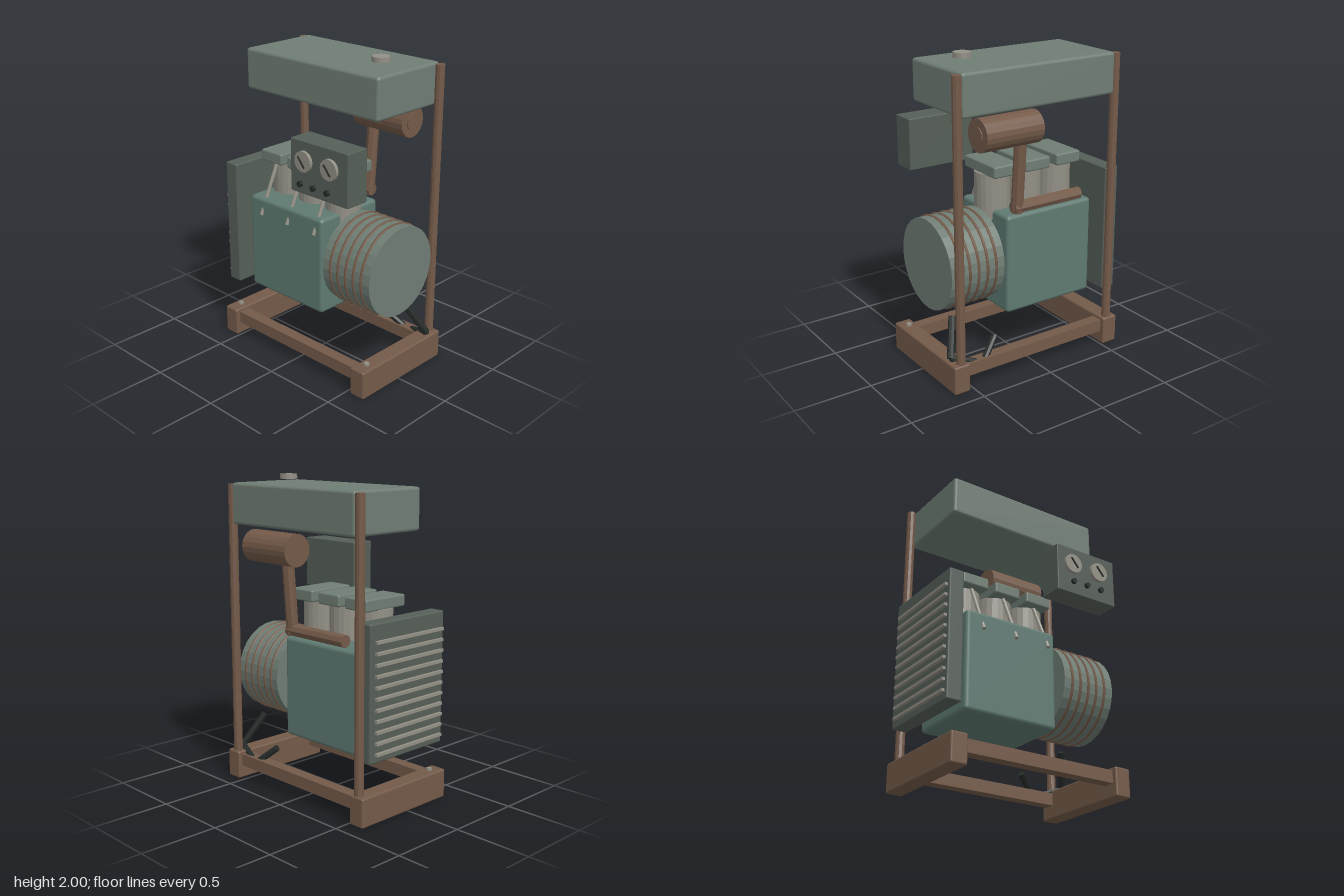
import * as THREE from 'three';
import { RoundedBoxGeometry } from 'three/addons/geometries/RoundedBoxGeometry.js';

const mat = (color, flatShading = false) => new THREE.MeshStandardMaterial({ color, flatShading });
const rust = mat(0x745a49), rustFlat = mat(0x745a49, true);
const green = mat(0x6f7d74), greenFlat = mat(0x6f7d74, true);
const teal = mat(0x5f7a72), slate = mat(0x565f58);
const steel = mat(0x928f85, true), black = mat(0x252b28, true);

export function createModel() {
  const model = new THREE.Group();
  model.name = 'generatorSet';

  const add = (name, geometry, material, parent = model) => {
    const mesh = new THREE.Mesh(geometry, material);
    mesh.name = name;
    parent.add(mesh);
    return mesh;
  };
  const group = (name) => {
    const g = new THREE.Group();
    g.name = name;
    model.add(g);
    return g;
  };
  // Box given by its extents on each axis, rounded when r > 0
  const box = (name, [x0, x1], [y0, y1], [z0, z1], material, r = 0, parent = model) => {
    const size = [x1 - x0, y1 - y0, z1 - z0];
    const geo = r ? new RoundedBoxGeometry(...size, 2, r) : new THREE.BoxGeometry(...size);
    const mesh = add(name, geo, material, parent);
    mesh.position.set((x0 + x1) / 2, (y0 + y1) / 2, (z0 + z1) / 2);
    return mesh;
  };
  // Cylinder between two points
  const rod = (name, a, b, r, sides, material, parent = model) => {
    const p = new THREE.Vector3(...a), q = new THREE.Vector3(...b);
    const dir = q.clone().sub(p);
    const mesh = add(name, new THREE.CylinderGeometry(r, r, dir.length(), sides), material, parent);
    mesh.position.copy(p).add(q).multiplyScalar(0.5);
    mesh.quaternion.setFromUnitVectors(new THREE.Vector3(0, 1, 0), dir.normalize());
    return mesh;
  };

  // Base frame: skids, posts, bolts and cross rails
  const frame = group('frame');
  for (const [side, x] of [['right', -0.565], ['left', 0.585]]) {
    box(side + 'Skid', [x - 0.055, x + 0.055], [0, 0.185], [-0.4, 0.34], rust, 0.012, frame);
    const px = x < 0 ? -0.556 : 0.576;
    rod(side + 'Post', [px, 0.17, -0.365], [px, 1.94, -0.365], 0.029, 10, rustFlat, frame);
    rod(side + 'Bolt', [x, 0.18, 0.25], [x, 0.2, 0.25], 0.018, 8, steel, frame);
  }
  for (const [end, z] of [['front', 0.272], ['back', -0.332]]) {
    box(end + 'Rail', [-0.53, 0.55], [0.085, 0.165], [z - 0.038, z + 0.038], rust, 0, frame);
  }

  // Fuel tank and cap
  box('fuelTank', [-0.535, 0.555], [1.69, 1.95], [-0.39, 0.16], green, 0.02);
  rod('tankCap', [0.36, 1.97, -0.085], [0.36, 2, -0.085], 0.055, 20, steel);

  // Engine block with three cylinders, heads and slanted pushrods
  const engine = group('engine');
  box('engineBlock', [-0.465, 0.18], [0.37, 1.01], [-0.285, 0.225], teal, 0.025, engine);
  for (const x of [-0.35, -0.115, 0.12]) {
    rod('cylinder', [x, 0.945, -0.03], [x, 1.235, -0.03], 0.112, 20, steel, engine);
    box('cylinderHead', [x - 0.092, x + 0.092], [1.23, 1.305], [-0.195, 0.14], green, 0.012, engine);
    rod('pushrod', [x, 1.24, 0.08], [x, 0.9, 0.235], 0.012, 8, steel, engine);
  }

  // Generator drum with bands
  const drum = group('generatorDrum');
  rod('drum', [0.225, 0.72, -0.03], [0.6, 0.72, -0.03], 0.29, 28, greenFlat, drum);
  for (let i = 0; i < 5; i++) {
    const band = add('drumBand', new THREE.TorusGeometry(0.288, 0.01, 6, 40), rust, drum);
    band.rotation.y = Math.PI / 2;
    band.position.set(0.285 + i * 0.0625, 0.72, -0.03);
  }

  // Radiator with horizontal fins
  const radiator = group('radiator');
  box('radiatorCore', [-0.625, -0.525], [0.38, 1.21], [-0.35, 0.285], slate, 0.01, radiator);
  for (let i = 0; i < 11; i++) {
    const y = 0.435 + i * 0.0667;
    box('radiatorFin', [-0.645, -0.62], [y - 0.009, y + 0.009], [-0.31, 0.265], steel, 0, radiator);
  }

  // Control panel with gauges and knobs
  const panel = group('controlPanel');
  box('panelBox', [0.09, 0.545], [1.235, 1.56], [0.23, 0.39], slate, 0.006, panel);
  for (const x of [0.205, 0.41]) {
    rod('gauge', [x, 1.44, 0.385], [x, 1.44, 0.41], 0.064, 20, steel, panel);
    const needle = box('needle', [x - 0.004, x + 0.004], [1.4, 1.48], [0.416, 0.424], black, 0, panel);
    needle.rotation.z = 0.7;
  }
  for (const x of [0.195, 0.3, 0.41]) {
    rod('knob', [x, 1.305, 0.41], [x, 1.305, 0.43], 0.018, 10, black, panel);
  }

  // Exhaust: manifold, riser and muffler
  const exhaust = group('exhaust');
  rod('manifold', [-0.36, 1.062, -0.283], [0.14, 1.062, -0.283], 0.04, 8, rustFlat, exhaust);
  rod('riser', [0.11, 1.03, -0.281], [0.11, 1.52, -0.318], 0.038, 8, rustFlat, exhaust);
  rod('muffler', [0.015, 1.565, -0.325], [0.415, 1.565, -0.325], 0.101, 20, rustFlat, exhaust);
  rod('mufflerOutlet', [0.4, 1.565, -0.325], [0.422, 1.565, -0.325], 0.053, 16, rustFlat, exhaust);

  // Cable hanging from the drum, in straight lengths
  const cable = group('cable');
  const points = [[0.52, 0.41, -0.18], [0.61, 0.2, -0.3], [0.41, 0.13, -0.35], [0.275, 0.25, -0.28]];
  for (let i = 0; i < 3; i++) {
    rod('cableLength', points[i], points[i + 1], 0.022, 8, black, cable);
  }

  return model;
}
